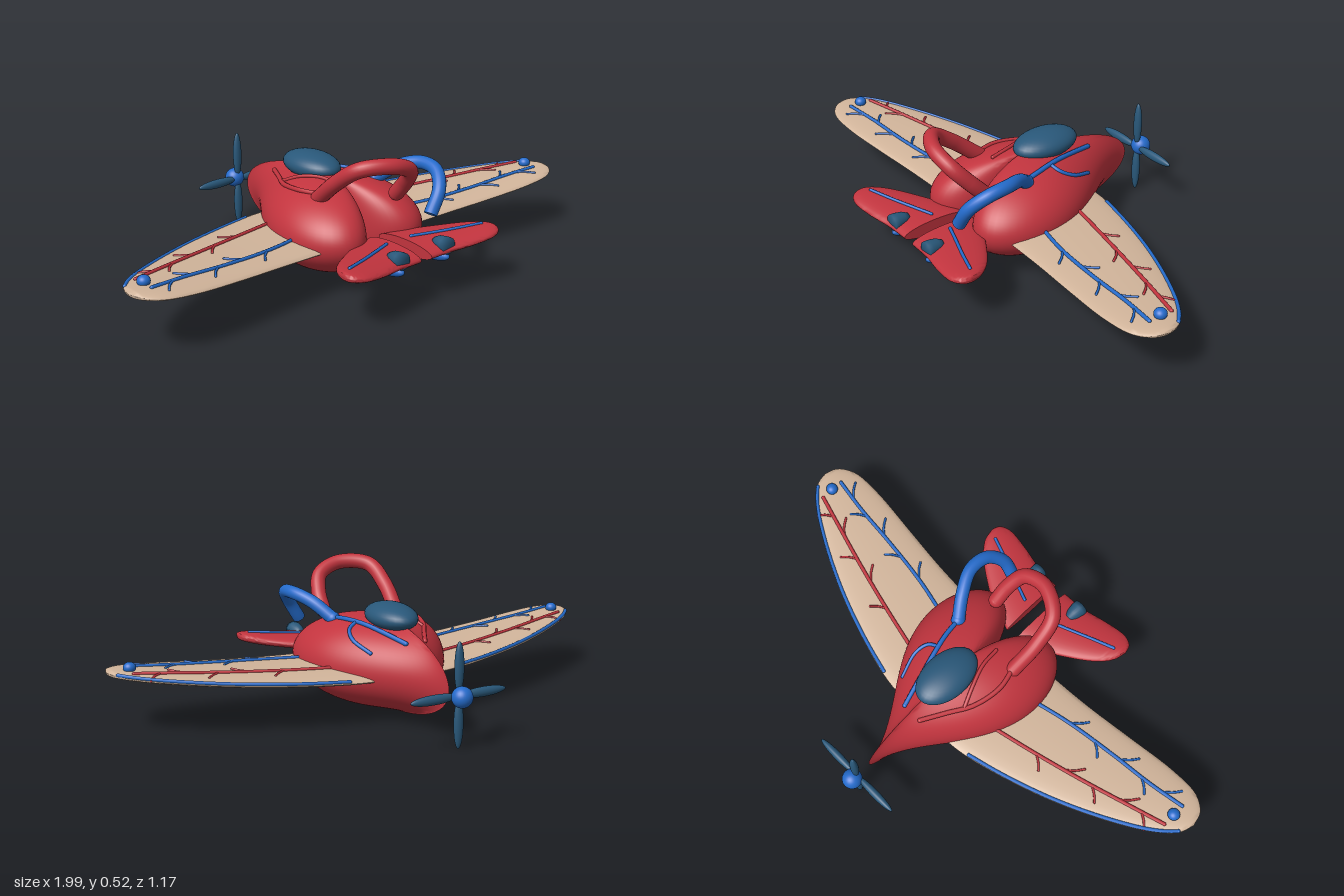
import * as THREE from 'three';
import { mergeVertices, toCreasedNormals } from 'three/addons/utils/BufferGeometryUtils.js';

const material = (name, color) => {
  const m = new THREE.MeshStandardMaterial({ color });
  m.name = name;
  return m;
};
const V = (x, y, z) => new THREE.Vector3(x, y, z);

// Heart outline in plan: tip towards -z, lobes towards +z
const BODY = { y: 0.195, h: 0.175, z: 0.012 };
const heart = t => [
  0.0175 * Math.sin(t) ** 3 * 16,
  0.0282 * (13 * Math.cos(t) - 5 * Math.cos(2 * t) - 2 * Math.cos(3 * t) - Math.cos(4 * t)),
];

function heartGeometry() {
  let g = new THREE.SphereGeometry(1, 96, 48);
  const p = g.attributes.position;
  for (let i = 0; i < p.count; i++) {
    const s = Math.hypot(p.getX(i), p.getZ(i));
    const [x, z] = heart(Math.atan2(p.getX(i), p.getZ(i)));
    p.setXYZ(i, x * s, BODY.y + BODY.h * p.getY(i), z * s + BODY.z);
  }
  g.deleteAttribute('uv');
  g.deleteAttribute('normal');
  g = mergeVertices(g, 1e-5);
  return toCreasedNormals(g, 0.9);
}

// Height of the heart's upper surface
function bodyTop(x, z) {
  const a = Math.atan2(Math.abs(x), z - BODY.z);
  let best = 9, s = 1;
  for (let t = 0.02; t < Math.PI; t += 0.01) {
    const [hx, hz] = heart(t), d = Math.abs(Math.atan2(hx, hz) - a);
    if (d < best) { best = d; s = Math.hypot(x, z - BODY.z) / Math.hypot(hx, hz); }
  }
  return BODY.y + BODY.h * Math.sqrt(Math.max(0, 1 - s * s));
}

// Lens-section wing from stations of [x, leading z, trailing z]
function makeWing(stations, yAt, H) {
  const rows = new THREE.CatmullRomCurve3(stations.map(s => V(...s))).getPoints(36);
  const maxChord = Math.max(...rows.map(r => r.z - r.y));
  const half = r => H * Math.sqrt(Math.max(0, r.z - r.y) / maxChord);
  const N = 32;
  const geometry = side => {
    const pos = [], idx = [];
    const ring = (r, k) => {
      const mid = (r.y + r.z) / 2, c = (r.z - r.y) / 2;
      for (let j = 0; j < N; j++) {
        const a = j / N * Math.PI * 2;
        pos.push(side * r.x, yAt(r.x) + k * half(r) * Math.sin(a), mid + k * c * Math.cos(a));
      }
    };
    ring(rows[0], 0);
    rows.forEach(r => ring(r, 1));
    ring(rows[rows.length - 1], 0);
    for (let i = 0; i <= rows.length; i++) for (let j = 0; j < N; j++) {
      const a = i * N + j, b = i * N + (j + 1) % N, c = a + N, d = b + N;
      if (side > 0) idx.push(a, c, b, b, c, d);
      else idx.push(a, b, c, b, d, c);
    }
    const g = new THREE.BufferGeometry();
    g.setAttribute('position', new THREE.Float32BufferAttribute(pos, 3));
    g.setIndex(idx);
    return toCreasedNormals(g, 1.1);
  };
  const top = (x, z) => {
    const r = rows.find(q => q.x >= x) || rows[rows.length - 1];
    const u = (2 * z - r.y - r.z) / (r.z - r.y);
    return yAt(x) + half(r) * Math.sqrt(Math.max(0, 1 - u * u));
  };
  return { geometry, top, rows };
}

export function createModel() {
  const root = new THREE.Group();
  const red = material('heart red', 0xc2343e);
  const blue = material('vein blue', 0x246bcb);
  const teal = material('dark teal', 0x29587a);
  const tan = material('wing tan', 0xd2b59b);

  const add = (name, geo, mat, parent = root) => {
    const m = new THREE.Mesh(geo, mat);
    m.name = name;
    parent.add(m);
    return m;
  };
  const ellipsoid = (name, mat, c, r, parent) => {
    const g = new THREE.SphereGeometry(1, 32, 20).scale(...r).translate(...c);
    return add(name, g, mat, parent);
  };
  const tube = (name, mat, pts, r, parent, sides = 8) => {
    const curve = new THREE.CatmullRomCurve3(pts);
    add(name, new THREE.TubeGeometry(curve, pts.length * 8, r, sides), mat, parent);
    // rounded ends
    for (const p of [pts[0], pts[pts.length - 1]])
      add(name + 'End', new THREE.SphereGeometry(r, sides * 2, sides).translate(p.x, p.y, p.z), mat, parent);
  };

  // Body and canopy
  add('heartBody', heartGeometry(), red);
  ellipsoid('canopy', teal, [0, 0.377, -0.065], [0.085, 0.05, 0.135]);

  // Large arched vessels
  tube('redArch', red, [V(-0.14, 0.33, 0.14), V(-0.15, 0.42, 0.25), V(-0.13, 0.485, 0.345),
    V(-0.03, 0.492, 0.405), V(0.06, 0.455, 0.395), V(0.092, 0.395, 0.345), V(0.1, 0.335, 0.29)], 0.029, root, 20);
  const bluePath = new THREE.CatmullRomCurve3([V(0.14, 0.34, 0.13), V(0.19, 0.395, 0.2),
    V(0.23, 0.42, 0.28), V(0.228, 0.41, 0.36), V(0.19, 0.36, 0.415), V(0.14, 0.28, 0.425)]);
  add('blueArch', new THREE.TubeGeometry(bluePath, 48, 0.025, 20), blue);
  ellipsoid('blueArchRoot', blue, [0.14, 0.34, 0.13], [0.027, 0.027, 0.027]);
  const cap = add('blueArchCap', new THREE.CircleGeometry(0.025, 20), blue);
  cap.position.copy(bluePath.getPoint(1));
  cap.lookAt(cap.position.clone().add(bluePath.getTangent(1)));

  // Vessels lying on the body
  const onBody = pts => pts.map(([x, z]) => V(x, bodyTop(x, z) + 0.003, z));
  tube('blueVessel', blue, onBody([[0.14, 0.14], [0.125, 0.05], [0.1, -0.04], [0.07, -0.14], [0.04, -0.24]]), 0.009);
  tube('blueBranch', blue, onBody([[0.11, 0], [0.15, -0.02], [0.165, -0.07], [0.14, -0.16]]), 0.007);
  tube('redVessel', red, onBody([[-0.14, 0.14], [-0.16, 0.05], [-0.14, -0.06], [-0.09, -0.15], [-0.04, -0.24]]), 0.009);
  tube('redBranch', red, onBody([[-0.12, -0.09], [-0.09, -0.02], [-0.06, 0.06], [-0.05, 0.14]]), 0.007);

  // Main wings and tail planes
  const wing = makeWing([[0.05, -0.2, 0.27], [0.2, -0.19, 0.27], [0.4, -0.14, 0.28], [0.6, -0.07, 0.3],
    [0.8, 0.025, 0.318], [0.92, 0.1, 0.31], [0.98, 0.16, 0.27], [0.997, 0.212, 0.218]],
    x => 0.177 + 0.052 * x * x, 0.024);
  const tail = makeWing([[0.025, 0.28, 0.55], [0.12, 0.31, 0.555], [0.22, 0.365, 0.575],
    [0.31, 0.43, 0.583], [0.35, 0.48, 0.565], [0.362, 0.528, 0.535]],
    x => 0.183 + 0.2 * x * x, 0.028);

  for (const side of [1, -1]) {
    const label = side > 0 ? 'left' : 'right';
    const w = new THREE.Group();
    w.name = label + 'Wing';
    root.add(w);
    add('wingPanel', wing.geometry(side), tan, w);
    const edge = wing.rows.filter((r, i) => i % 3 === 0 && r.x > 0.14 && r.x < 0.985);
    tube('leadingEdgeVein', blue, edge.map(r => V(side * r.x, wing.top(r.x, r.y + 0.008), r.y + 0.008)), 0.007, w);

    // Wing veins with short side branches
    const onWing = pts => pts.map(([x, z]) => V(side * x, wing.top(x, z) + 0.002, z));
    const veins = [
      ['redVein', red, [[0.2, -0.045], [0.4, 0.0], [0.6, 0.05], [0.78, 0.1], [0.92, 0.14]], 1],
      ['blueVein', blue, [[0.2, 0.13], [0.4, 0.175], [0.6, 0.2], [0.78, 0.215], [0.92, 0.235]], -1],
    ];
    for (const [name, mat, pts, dir] of veins) {
      tube(name, mat, onWing(pts), 0.007, w);
      const path = new THREE.CatmullRomCurve3(pts.map(([x, z]) => V(x, 0, z)));
      for (let k = 0; k < 5; k++) {
        const p = path.getPoint(0.26 + k * 0.145), s = k % 2 ? -dir : dir;
        const dz = s > 0 ? -0.04 : 0.055;
        tube(name + 'Branch', mat, onWing([[p.x, p.z], [p.x + 0.03, p.z + dz * 0.5], [p.x + 0.05, p.z + dz]]), 0.0045, w, 6);
      }
    }
    ellipsoid('tipLight', blue, [side * 0.92, 0.246, 0.188], [0.023, 0.02, 0.023], w);

    // Tail plane, its vein and engine pods
    const t = new THREE.Group();
    t.name = label + 'Tail';
    root.add(t);
    add('tailPlane', tail.geometry(side), red, t);
    tube('tailVein', blue, [[0.06, 0.41], [0.14, 0.44], [0.23, 0.475], [0.32, 0.507]]
      .map(([x, z]) => V(side * x, tail.top(x, z) + 0.002, z)), 0.006, t);
    ellipsoid('lowerPod', blue, [side * 0.11, 0.16, 0.435], [0.032, 0.03, 0.115], t);
    const profile = [[0, 0.475], [0.016, 0.48], [0.026, 0.5], [0.031, 0.53], [0.031, 0.548], [0, 0.548]];
    const nozzle = new THREE.LatheGeometry(profile.map(p => new THREE.Vector2(...p)).reverse(), 24);
    // lathe axis turned from y to z, profile reversed so faces look outwards
    nozzle.rotateX(Math.PI / 2);
    nozzle.translate(side * 0.11, 0.203, 0);
    const both = teal.clone();
    add('nozzle', nozzle, nozzleMaterial(both), t);
  }

  // Propeller behind the tip
  const prop = new THREE.Group();
  prop.name = 'propeller';
  prop.position.set(0, 0.196, -0.53);
  root.add(prop);
  ellipsoid('hub', blue, [0, 0, -0.021], [0.038, 0.038, 0.038], prop);
  for (let k = 0; k < 4; k++) {
    const blade = ellipsoid('blade', teal, [0, 0.1, 0], [0.018, 0.092, 0.015], prop);
    blade.rotation.z = k * Math.PI / 2;
  }
  return root;

  function nozzleMaterial(m) {
    m.name = 'dark teal nozzle';
    m.side = THREE.DoubleSide;
    return m;
  }
}
